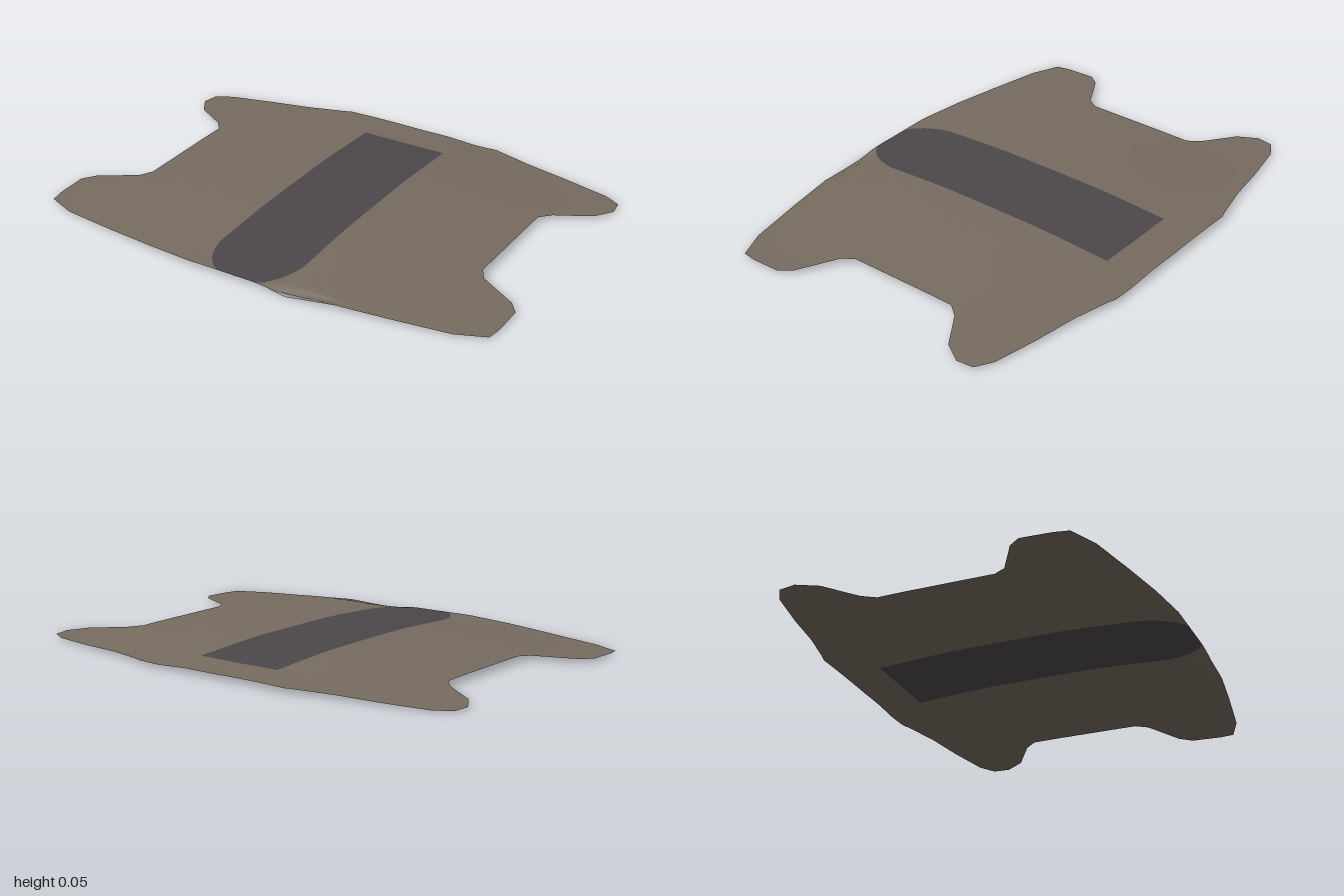
import * as THREE from 'three';

// Outline of the hide: [z, half width], back to front
const OUTLINE = [
  [-0.73, 0.36], [-0.72, 0.39], [-0.68, 0.55], [-0.65, 0.73], [-0.61, 0.92], [-0.57, 0.99],
  [-0.5, 1], [-0.42, 0.95], [-0.33, 0.81], [-0.28, 0.77], [0.2, 0.77], [0.25, 0.8],
  [0.34, 0.96], [0.39, 1], [0.52, 1], [0.58, 0.99], [0.63, 0.87], [0.67, 0.63], [0.7, 0.42], [0.72, 0.22],
];
// Dark back stripe: [z, half width], rounded at the front
const STRIPE = [[-0.73, 0.19], [0.55, 0.19], [0.61, 0.175], [0.66, 0.15], [0.7, 0.115], [0.72, 0.085]];
const STRIPE_BACK = -0.565;

function lookup(table, z) {
  for (let i = 1; i < table.length; i++) {
    const [z0, w0] = table[i - 1], [z1, w1] = table[i];
    if (z <= z1) return w0 + (w1 - w0) * (z - z0) / (z1 - z0);
  }
  return table[table.length - 1][1];
}

// Gentle dome, with a small tuck at the front edge and another at the back
function height(x, z) {
  const dropX = 0.033 * THREE.MathUtils.smoothstep(Math.abs(x), 0.1, 1.1);
  const dropZ = 0.027 * THREE.MathUtils.smoothstep(Math.abs(z), 0.15, 0.8) * (1 - 0.5 * Math.abs(x));
  const tuck = (cx, cz, depth) => depth * Math.exp(-(((x - cx) / 0.1) ** 2) - ((z - cz) / 0.04) ** 2);
  return 0.055 - dropX - dropZ - tuck(0.24, 0.72, 0.024) - tuck(0.26, -0.71, 0.01);
}

// Rows at every outline and stripe corner, with long gaps subdivided
function makeRows() {
  const keys = [...new Set([...OUTLINE, ...STRIPE].map(p => p[0]).concat(STRIPE_BACK))].sort((a, b) => a - b);
  const rows = [keys[0]];
  for (let i = 1; i < keys.length; i++) {
    const n = Math.ceil((keys[i] - keys[i - 1]) / 0.04);
    for (let k = 1; k <= n; k++) rows.push(keys[i - 1] + (keys[i] - keys[i - 1]) * k / n);
  }
  return rows;
}

// Draped sheet between two edge curves
function sheet(name, rows, left, right, columns, material) {
  const positions = [], indices = [];
  rows.forEach((z, r) => {
    for (let c = 0; c <= columns; c++) {
      const x = THREE.MathUtils.lerp(left(z), right(z), c / columns);
      positions.push(x, height(x, z), z);
      if (r && c) {
        const d = r * (columns + 1) + c, b = d - 1, e = d - columns - 1, a = e - 1;
        indices.push(a, b, e, b, d, e);
      }
    }
  });
  const geometry = new THREE.BufferGeometry();
  geometry.setAttribute('position', new THREE.Float32BufferAttribute(positions, 3));
  geometry.setIndex(indices);
  geometry.computeVertexNormals();
  const mesh = new THREE.Mesh(geometry, material);
  mesh.name = name;
  return mesh;
}

export function createModel() {
  const group = new THREE.Group();
  group.name = 'hideRug';
  const fur = new THREE.MeshStandardMaterial({ color: 0x766b5f, side: THREE.DoubleSide });
  const dark = new THREE.MeshStandardMaterial({ color: 0x4c474a, side: THREE.DoubleSide });

  const rows = makeRows();
  const edge = z => lookup(OUTLINE, z);
  const stripe = z => lookup(STRIPE, z);

  // Side panels with the leg flaps
  group.add(sheet('leftHide', rows, stripe, edge, 16, fur));
  group.add(sheet('rightHide', rows, z => -edge(z), z => -stripe(z), 16, fur));
  // Rear panel behind the stripe, then the stripe itself
  group.add(sheet('rearHide', rows.filter(z => z <= STRIPE_BACK + 1e-6), z => -stripe(z), stripe, 6, fur));
  group.add(sheet('backStripe', rows.filter(z => z >= STRIPE_BACK - 1e-6), z => -stripe(z), stripe, 6, dark));
  return group;
}
